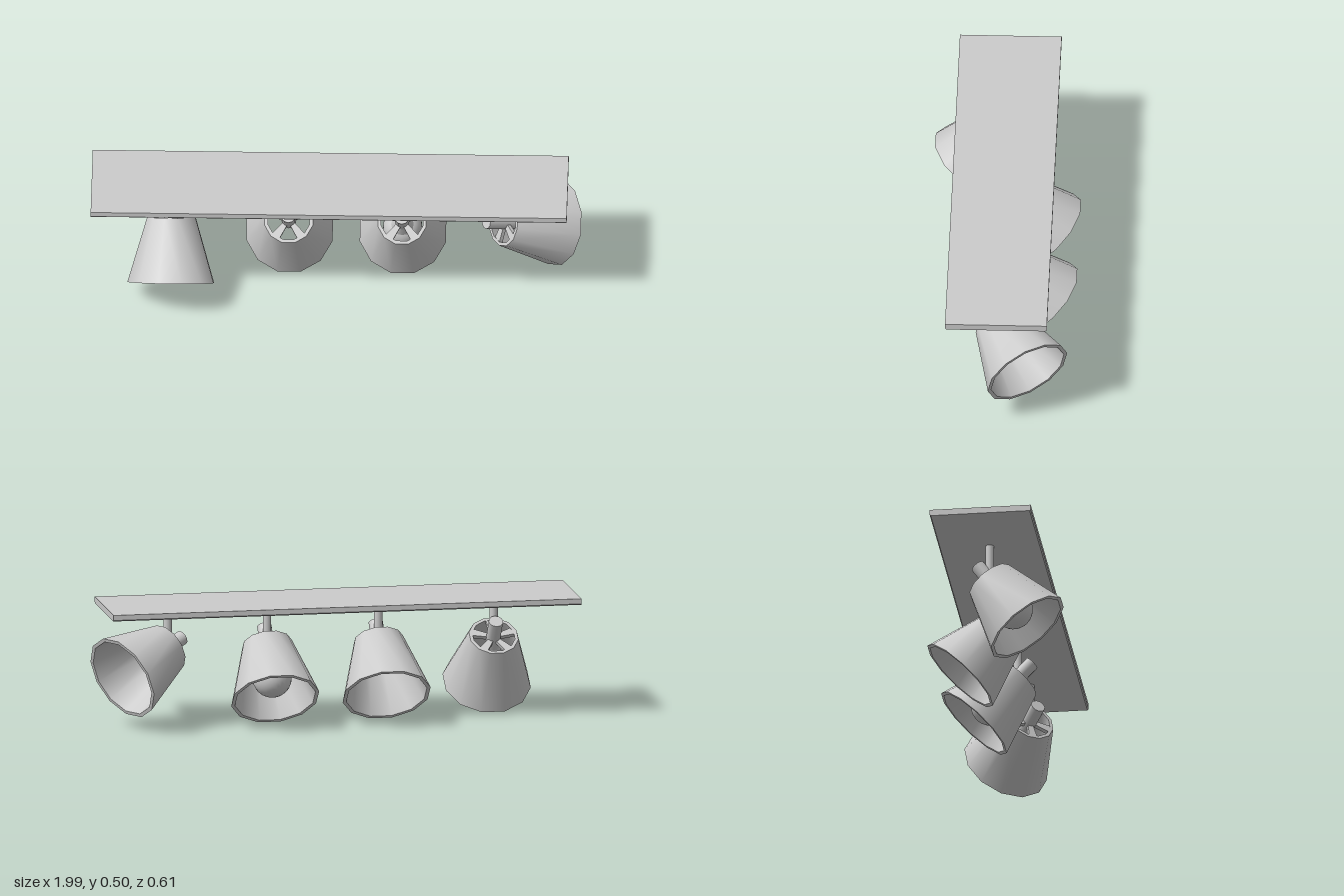
import * as THREE from 'three';
import { toCreasedNormals } from 'three/addons/utils/BufferGeometryUtils.js';

const grey = new THREE.MeshStandardMaterial({ color: 0xcccccc });
const Z = 0.007; // centre line of the plate
const SIDES = 12;

function part(name, geometry, parent) {
  const mesh = new THREE.Mesh(geometry, grey);
  mesh.name = name;
  parent.add(mesh);
  return mesh;
}

// Ceiling plate: a flat bar with small bevels on the lower long edges
function plateGeometry() {
  const w = 0.2075, b = 0.005;
  const s = new THREE.Shape();
  s.moveTo(-w, b);
  s.lineTo(-w + b, 0);
  s.lineTo(w - b, 0);
  s.lineTo(w, b);
  s.lineTo(w, 0.026);
  s.lineTo(-w, 0.026);
  const g = new THREE.ExtrudeGeometry(s, { depth: 1.94, bevelEnabled: false });
  return g.rotateY(Math.PI / 2);
}

// Shade: thick-walled open cone, narrow end at the pivot, wide end at -y
function shadeGeometry() {
  const profile = [[0.182, -0.265], [0.102, 0], [0.088, 0], [0.167, -0.265], [0.182, -0.265]]
    .map(([r, y]) => new THREE.Vector2(r, y));
  const g = new THREE.LatheGeometry(profile, SIDES, Math.PI / SIDES);
  return toCreasedNormals(g, 0.6);
}

// Spoke: wedge that widens from the hub to the shade wall
function spokeGeometry() {
  const s = new THREE.Shape();
  s.moveTo(-0.01, 0.02);
  s.lineTo(0.01, 0.02);
  s.lineTo(0.019, 0.094);
  s.lineTo(-0.019, 0.094);
  const g = new THREE.ExtrudeGeometry(s, { depth: 0.016, bevelEnabled: false });
  return g.rotateX(Math.PI / 2);
}

// One spotlight head, tilted away from straight down and then turned
function createHead({ tilt, yaw, bulb, twist }) {
  const head = new THREE.Group();
  head.name = 'spotlightHead';
  head.rotation.order = 'YXZ';
  head.rotation.set(-tilt, yaw, 0);

  part('shade', shadeGeometry(), head);
  part('hub', new THREE.CylinderGeometry(0.03, 0.03, 0.145, SIDES), head).position.y = 0.0125;

  for (let i = 0; i < 5; i++) {
    const spoke = part('spoke', spokeGeometry(), head);
    spoke.position.y = -0.003;
    spoke.rotation.y = twist + (i * Math.PI * 2) / 5;
  }

  if (bulb) {
    part('bulb', new THREE.SphereGeometry(0.08, 24, 16), head).position.y = -0.165;
    part('bulbNeck', new THREE.CylinderGeometry(0.027, 0.05, 0.06, 16), head).position.y = -0.08;
  }
  return head;
}

export function createModel() {
  const model = new THREE.Group();
  model.name = 'ceilingSpotlightBar';

  part('ceilingPlate', plateGeometry(), model).position.set(-1, 0.479, Z);

  const rad = THREE.MathUtils.degToRad;
  const lamps = [
    { x: -0.675, tilt: rad(35.5), yaw: 0, bulb: true, twist: 0 },
    { x: -0.197, tilt: rad(43), yaw: Math.PI, bulb: false, twist: 0 },
    { x: 0.265, tilt: rad(43), yaw: Math.PI, bulb: true, twist: 0 },
    { x: 0.677, tilt: rad(69), yaw: rad(121), bulb: false, twist: Math.PI },
  ];

  for (const lamp of lamps) {
    const group = new THREE.Group();
    group.name = 'spotlight';
    group.position.set(lamp.x, 0, Z);
    // Stem from the plate down to the hub
    part('stem', new THREE.CylinderGeometry(0.0175, 0.0175, 0.14, SIDES), group).position.y = 0.411;
    const head = createHead(lamp);
    head.position.y = 0.324;
    group.add(head);
    model.add(group);
  }
  return model;
}
